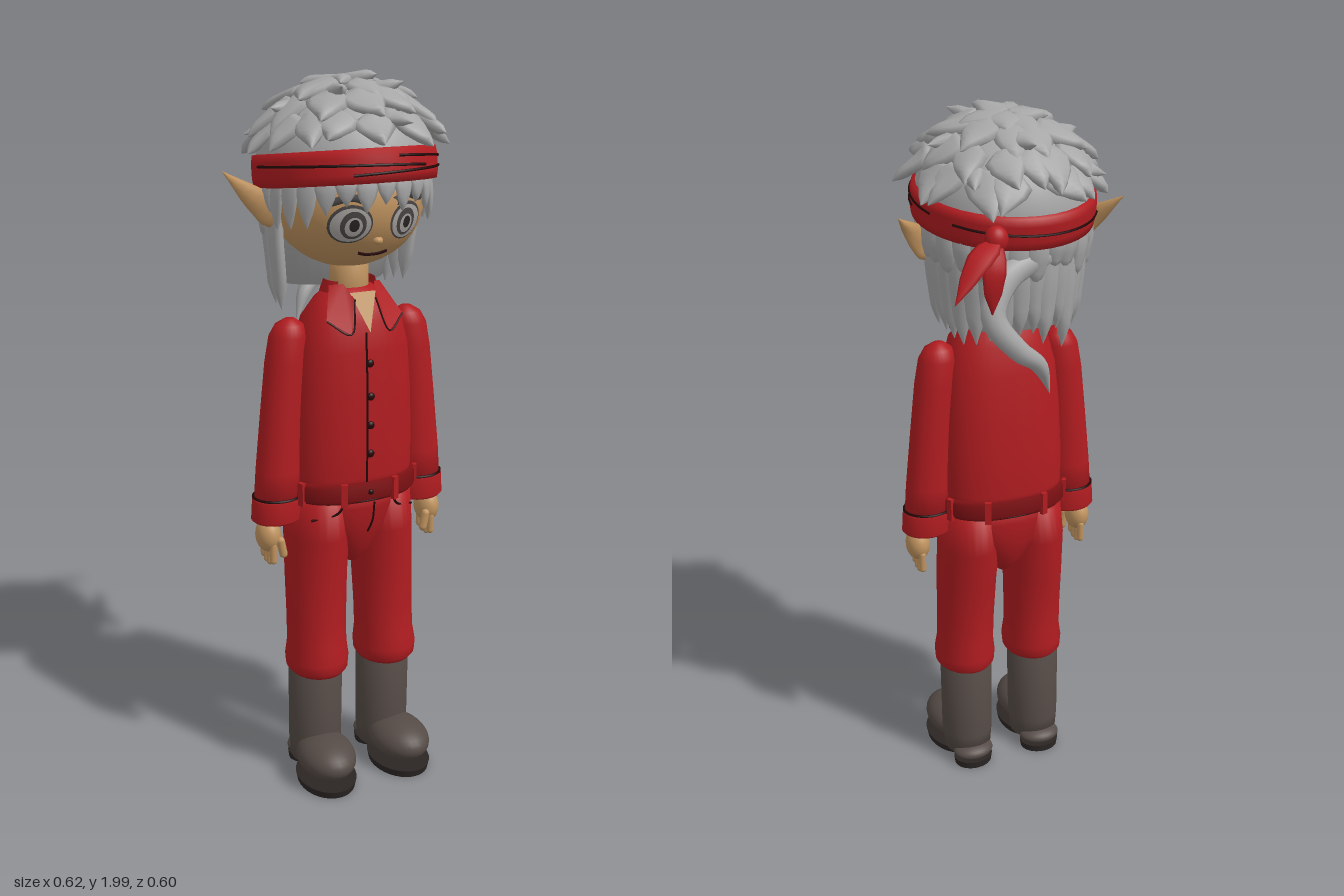
import * as THREE from 'three';

const V = (x, y, z) => new THREE.Vector3(x, y, z);
const mat = (name, color, double) => {
  const m = new THREE.MeshStandardMaterial({ color });
  m.name = name;
  if (double) m.side = THREE.DoubleSide;
  return m;
};

let seed = 7;
const rnd = (a, b) => {
  seed = (seed * 16807) % 2147483647;
  return a + (b - a) * seed / 2147483647;
};

// Joins closed rings of points into a capped skin
function stitch(rings) {
  const n = rings[0].length, pos = [], idx = [];
  rings.forEach(r => r.forEach(p => pos.push(p.x, p.y, p.z)));
  for (let i = 0; i < rings.length - 1; i++) for (let j = 0; j < n; j++) {
    const a = i * n + j, b = i * n + (j + 1) % n;
    idx.push(a, b, a + n, b, b + n, a + n);
  }
  [0, rings.length - 1].forEach(i => {
    const c = rings[i].reduce((s, p) => s.add(p), V(0, 0, 0)).divideScalar(n);
    const k = pos.length / 3;
    pos.push(c.x, c.y, c.z);
    for (let j = 0; j < n; j++) {
      const a = i * n + j, b = i * n + (j + 1) % n;
      if (i === 0) idx.push(k, b, a); else idx.push(k, a, b);
    }
  });
  const g = new THREE.BufferGeometry();
  g.setAttribute('position', new THREE.Float32BufferAttribute(pos, 3));
  g.setIndex(idx);
  g.computeVertexNormals();
  return g;
}

// Level rings from bottom to top: [x, y, z, rx, rz], power 2 is an ellipse
function loft(sections, power = 2, n = 28) {
  const e = 2 / power, f = v => Math.sign(v) * Math.abs(v) ** e;
  return stitch(sections.map(([x, y, z, rx, rz]) => Array.from({ length: n }, (_, j) => {
    const a = j / n * Math.PI * 2;
    return V(x + rx * f(Math.cos(a)), y, z - rz * f(Math.sin(a)));
  })));
}

const lerpList = (list, t) => {
  const u = t * (list.length - 1), i = Math.min(Math.floor(u), list.length - 2);
  return list[i] + (list[i + 1] - list[i]) * (u - i);
};

// Flat tapering strand along a curve; its broad side faces away from 'centre'
function strand(points, widths, thick, centre, steps = 8, n = 8) {
  const curve = new THREE.CatmullRomCurve3(points);
  return stitch(Array.from({ length: steps + 1 }, (_, i) => {
    const t = i / steps, p = curve.getPoint(t), tan = curve.getTangent(t);
    const out = p.clone().sub(centre);
    out.addScaledVector(tan, -out.dot(tan)).normalize();
    const side = out.clone().cross(tan), w = Math.max(lerpList(widths, t), 0.001);
    const h = Math.min(thick, w);
    return Array.from({ length: n }, (_, j) => {
      const a = j / n * Math.PI * 2;
      return p.clone().addScaledVector(side, w * Math.cos(a)).addScaledVector(out, h * Math.sin(a));
    });
  }));
}

export function createModel() {
  const root = new THREE.Group();
  const red = mat('red cloth', 0xb01c20, true), darkRed = mat('dark red', 0x7c1013), seam = mat('seam', 0x250607);
  const grey = mat('grey hair', 0xa6a6a6), skin = mat('skin', 0xc0935f, true), boot = mat('boot', 0x554b46);
  const soleM = mat('sole', 0x2b2624), white = mat('eye white', 0xaaa6a2), dark = mat('iris', 0x4a4645);
  const add = (name, geo, m, parent = root) => {
    const mesh = new THREE.Mesh(geo, m);
    mesh.name = name;
    parent.add(mesh);
    return mesh;
  };
  const ball = (name, m, x, y, z, rx, ry, rz, parent) => {
    const b = add(name, new THREE.SphereGeometry(1, 28, 18), m, parent);
    b.position.set(x, y, z);
    b.scale.set(rx, ry, rz);
    return b;
  };
  const line = (name, pts, r, m = seam, parent = root) =>
    add(name, new THREE.TubeGeometry(new THREE.CatmullRomCurve3(pts), 16, r, 6), m, parent);
  const ringLine = (name, x, y, z, rx, rz, r, m = seam) => {
    const pts = Array.from({ length: 24 }, (_, i) => V(x + rx * Math.cos(i * Math.PI / 12), y, z + rz * Math.sin(i * Math.PI / 12)));
    return add(name, new THREE.TubeGeometry(new THREE.CatmullRomCurve3(pts, true), 48, r, 6, true), m);
  };
  const plate = (name, pts, m) => {
    const g = new THREE.BufferGeometry().setFromPoints(pts);
    g.setIndex(Array.from({ length: pts.length - 2 }, (_, i) => [0, i + 1, i + 2]).flat());
    g.computeVertexNormals();
    return add(name, g, m);
  };

  // Shirt and neck
  add('shirt', loft([[0, .88, .052, .172, .122], [0, .93, .053, .176, .127], [0, 1.02, .054, .176, .128], [0, 1.16, .058, .17, .122],
    [0, 1.28, .062, .16, .111], [0, 1.36, .065, .138, .098], [0, 1.41, .062, .1, .073], [0, 1.44, .058, .062, .05]], 2.4, 40), red);
  add('neck', loft([[0, 1.38, .055, .054, .05], [0, 1.46, .05, .054, .052], [0, 1.54, .045, .056, .055]]), skin);
  ringLine('necklace', 0, 1.425, .058, .06, .058, .004);
  plate('openNeck', [V(-.038, 1.435, .135), V(0, 1.335, .181), V(.038, 1.435, .135)], skin);
  const back = add('collarBack', new THREE.CylinderGeometry(.07, .085, .055, 28, 1, true, Math.PI * .28, Math.PI * 1.44), red);
  back.position.set(0, 1.432, .055);
  for (const s of [1, -1]) {
    plate('collarFlap', [V(s * .045, 1.455, .112), V(s * .03, 1.42, .148), V(s * .056, 1.335, .181), V(s * .112, 1.37, .148), V(s * .075, 1.45, .085)], red);
    line('collarEdge', [V(s * .03, 1.42, .149), V(s * .056, 1.335, .182), V(s * .112, 1.37, .149)], .0025);
  }
  line('placketSeam', [V(-.008, 1.335, .172), V(-.008, 1.2, .18), V(-.008, 1.05, .183), V(-.008, .92, .181)], .003);
  for (const y of [1.25, 1.16, 1.08, 1]) ball('button', seam, .002, y, y > 1.2 ? .176 : .182, .011, .011, .007);

  // Belt with loops and buckle stud
  add('belt', loft([[0, .862, .055, .18, .128], [0, .872, .055, .188, .135], [0, .91, .055, .188, .135], [0, .92, .055, .18, .128]], 2.4, 40), darkRed);
  ringLine('beltEdge', 0, .867, .055, .181, .129, .004);
  for (const a of [.35, 1.15, 2, 2.75]) for (const s of [1, -1]) {
    const f = v => Math.sign(v) * Math.abs(v) ** (2 / 2.4);
    const l = add('beltLoop', new THREE.BoxGeometry(.018, .065, .012), red);
    l.position.set(s * .188 * f(Math.sin(a)), .89, .055 + .135 * f(Math.cos(a)));
    l.rotation.y = s * a;
  }
  ball('beltStud', seam, 0, .892, .19, .008, .008, .006);

  // Trousers
  add('hips', loft([[0, .65, .05, .02, .04], [0, .7, .05, .06, .085], [0, .78, .05, .125, .115], [0, .84, .053, .165, .122], [0, .89, .055, .176, .124]], 2.2, 36), red);
  line('fly', [V(.015, .86, .183), V(.015, .8, .172), V(.005, .765, .162)], .003);

  for (const s of [1, -1]) {
    add('trouserLeg', loft([[s * .108, .33, .07, .076, .085], [s * .109, .345, .07, .087, .098], [s * .109, .375, .07, .089, .101], [s * .108, .42, .068, .083, .094],
      [s * .107, .5, .064, .084, .09], [s * .105, .62, .058, .086, .098], [s * .1, .75, .05, .087, .115], [s * .095, .86, .052, .08, .118]]), red);
    line('pocketSeam', [V(s * .075, .862, .176), V(s * .09, .838, .172), V(s * .155, .815, .138)], .0035);

    // Boots
    add('bootShaft', loft([[s * .11, .04, .055, .07, .075], [s * .11, .1, .057, .076, .078], [s * .109, .34, .06, .078, .078]]), boot);
    const foot = new THREE.Group();
    foot.name = 'foot';
    foot.position.set(s * .113, 0, .05);
    foot.rotation.y = s * .06;
    root.add(foot);
    ball('toe', boot, 0, .085, .1, .082, .058, .112, foot);
    ball('heel', boot, 0, .045, -.045, .062, .025, .05, foot);
    for (const [z, rx, rz] of [[.1, .084, .112], [-.045, .06, .05]]) {
      const p = add('sole', new THREE.CylinderGeometry(1, .95, .022, 32), soleM, foot);
      p.position.set(0, .014, z);
      p.scale.set(rx, 1, rz);
    }

    // Sleeves and cuffs
    add('sleeve', loft([[s * .218, .87, .057, .066, .058], [s * .215, .95, .057, .063, .057], [s * .204, 1.1, .056, .058, .055], [s * .19, 1.25, .055, .055, .054],
      [s * .181, 1.32, .055, .051, .051], [s * .177, 1.35, .055, .038, .038], [s * .175, 1.365, .055, .015, .015]]), red);
    add('cuff', loft([[s * .223, .805, .057, .064, .055], [s * .223, .812, .057, .071, .061], [s * .22, .868, .057, .07, .061], [s * .219, .876, .057, .064, .056]]), red);
    ringLine('cuffSeam', s * .219, .876, .057, .067, .059, .004);

    // Hands
    ball('palm', skin, s * .25, .765, .06, .034, .048, .043);
    for (let i = 0; i < 4; i++) {
      const f = add('finger', new THREE.CapsuleGeometry(.0105, .045, 4, 10), skin);
      f.position.set(s * .248, .712 + (i === 0 || i === 3 ? .008 : 0), .09 - i * .021);
    }
    const thumb = add('thumb', new THREE.CapsuleGeometry(.012, .04, 4, 10), skin);
    thumb.position.set(s * .224, .735, .095);
    thumb.rotation.z = s * -.2;
  }

  // Head and face
  const H = { y: 1.67, z: .04, rx: .205, ry: .18, rz: .2 };
  ball('head', skin, 0, H.y, H.z, H.rx, H.ry, H.rz);
  const faceZ = (x, y) => H.z + H.rz * Math.sqrt(Math.max(0, 1 - (x / H.rx) ** 2 - ((y - H.y) / H.ry) ** 2));
  const onFace = (x, y, off) => V(x, y, faceZ(x, y) + off);
  const disc = (name, m, x, y, rx, ry, off) => {
    const g = new THREE.RingGeometry(0, 1, 28, 5), p = g.attributes.position;
    for (let i = 0; i < p.count; i++) {
      const q = onFace(x + p.getX(i) * rx, y + p.getY(i) * ry, off);
      p.setXYZ(i, q.x, q.y, q.z);
    }
    g.computeVertexNormals();
    add(name, g, m);
  };
  ball('nose', skin, 0, 1.583, faceZ(0, 1.583), .014, .011, .014);
  line('mouth', [[-.042, 1.55], [-.02, 1.544], [.02, 1.544], [.042, 1.55]].map(([x, y]) => onFace(x, y, .001)), .0045);
  for (const s of [1, -1]) {
    disc('eyeOutline', dark, s * .078, 1.63, .053, .05, .003);
    disc('eyeWhite', white, s * .078, 1.628, .048, .044, .005);
    disc('iris', dark, s * .074, 1.628, .031, .036, .007);
    disc('irisGlow', white, s * .074, 1.624, .021, .025, .009);
    disc('pupil', soleM, s * .074, 1.628, .012, .016, .011);
    line('eyebrow', [[.035, 1.682], [.075, 1.697], [.125, 1.685]].map(([x, y]) => onFace(s * x, y, .003)), .011, dark);
    add('ear', strand([V(s * .18, 1.625, .05), V(s * .235, 1.665, .02), V(s * .31, 1.742, -.055)], [.035, .045, .028, 0], .013, V(s * .15, 1.72, -.3), 10), skin);
  }

  // Headband and hair crown share one backward tilt
  const crown = new THREE.Group();
  crown.name = 'crown';
  crown.position.set(0, 1.747, .025);
  crown.rotation.x = -.13;
  root.add(crown);
  const band = add('headband', new THREE.LatheGeometry([[.9, -.044], [.985, -.041], [1, -.02], [1, .02], [.985, .041], [.9, .044]].map(p => new THREE.Vector2(...p)), 48), red, crown);
  band.scale.set(.24, 1, .256);
  for (const [a, b, y0, y1] of [[-1.6, .5, .012, -.004], [-.4, 1.5, -.022, -.005], [.1, 1.9, .022, .01], [2.2, 4.2, .005, -.01]])
    line('bandFold', Array.from({ length: 9 }, (_, i) => {
      const t = a + (b - a) * i / 8;
      return V(.241 * Math.sin(t), y0 + (y1 - y0) * i / 8, .257 * Math.cos(t));
    }), .0035, seam, crown);

  const dome = (az, p, k) => V(.232 * Math.sin(p) * Math.sin(az) * k, .218 * Math.cos(p) * k, .245 * Math.sin(p) * Math.cos(az) * k);
  const cap = add('hairCap', new THREE.SphereGeometry(1, 36, 14, 0, Math.PI * 2, 0, Math.PI / 2), grey, crown);
  cap.scale.set(.232, .218, .245);
  const lock = (az, p, len, lift, w, twist = 0) =>
    add('crownLock', strand([0, .33, .67, 1].map(t => dome(az + twist * t, p + len * t, 1 + lift * t * t)),
      [w * .5, w, w * .85, w * .45, 0], .016, V(0, -.05, 0)), grey, crown);
  [[.95, 15, .42, .2, .055], [.62, 13, .5, .12, .058], [.3, 9, .52, .09, .056], [.04, 6, .48, .07, .05]].forEach(([p, n, len, lift, w], row) => {
    for (let i = 0; i < n; i++)
      lock((i + row * .5 + rnd(-.25, .25)) / n * Math.PI * 2, p + rnd(-.06, .06), len + rnd(-.08, .06), lift + rnd(-.06, .07), w * rnd(.85, 1.15), rnd(-.2, .2));
  });
  // Upturned tufts
  for (const [az, p] of [[-.6, .5], [.5, .45], [3, .45], [-1.5, .7], [1.5, .65], [2.3, .9], [-2.3, .95], [.1, .95]])
    lock(az, p, .24, .2, .03, .15);

  // Fringe under the band
  for (let i = -6; i <= 6; i++) {
    const a = i * .235, len = Math.abs(i) > 3 ? .1 : .05 + (i % 2 ? .02 : 0);
    const at = (k, dy) => V(.215 * k * Math.sin(a), 1.75 - .03 * (1 - Math.cos(a)) - dy, .035 + .222 * k * Math.cos(a));
    add('fringeLock', strand([at(.99, 0), at(1.02, len * .5), at(1, len + .02)], [.026, .03, .022, 0], .009, V(0, 1.7, .04)), grey);
  }

  // Long locks behind the ears, in two layers
  for (const [n, top, bottom, w, r, layer] of [[17, 1.72, 1.41, .035, .195, 0], [15, 1.72, 1.59, .034, .212, 1]])
    for (let i = 0; i < n; i++) {
      const a = Math.PI / 2 + (i / (n - 1)) * Math.PI + rnd(-.04, .04), end = bottom + rnd(-.035, .03);
      const at = (k, y) => V(r * k * Math.sin(a), y, .02 + r * k * Math.cos(a) * 1.02);
      add(layer ? 'upperBackLock' : 'longBackLock', strand([at(1, top), at(1.02, top * .6 + end * .4), at(.98, top * .3 + end * .7), at(.94, end)],
        [w, w, w * .95, w * .75, 0], .018, V(0, 1.55, .03), 10), grey);
    }
  add('nape', loft([[0, 1.44, -.05, .15, .09], [0, 1.6, -.04, .18, .135], [0, 1.72, -.03, .19, .15]]), grey);

  // Curling tail of hair
  add('hairTail', strand([V(-.03, 1.65, -.18), V(.08, 1.61, -.205), V(.13, 1.52, -.232), V(.07, 1.43, -.245), V(0, 1.37, -.222), V(-.04, 1.28, -.2)],
    [.03, .036, .034, .03, .026, .02, 0], .026, V(0, 1.45, .4), 28, 10), grey);

  // Headband knot and loose ends
  ball('knot', red, .12, 1.715, -.228, .03, .034, .027);
  add('bandEnd', strand([V(.12, 1.715, -.235), V(.18, 1.68, -.27), V(.255, 1.585, -.3)], [.012, .032, .034, .022, 0], .007, V(.1, 1.5, -.15), 12), red);
  add('bandEnd', strand([V(.12, 1.71, -.24), V(.14, 1.64, -.265), V(.14, 1.53, -.25)], [.012, .026, .03, .022, 0], .007, V(.1, 1.6, 0), 12), red);
  return root;
}
